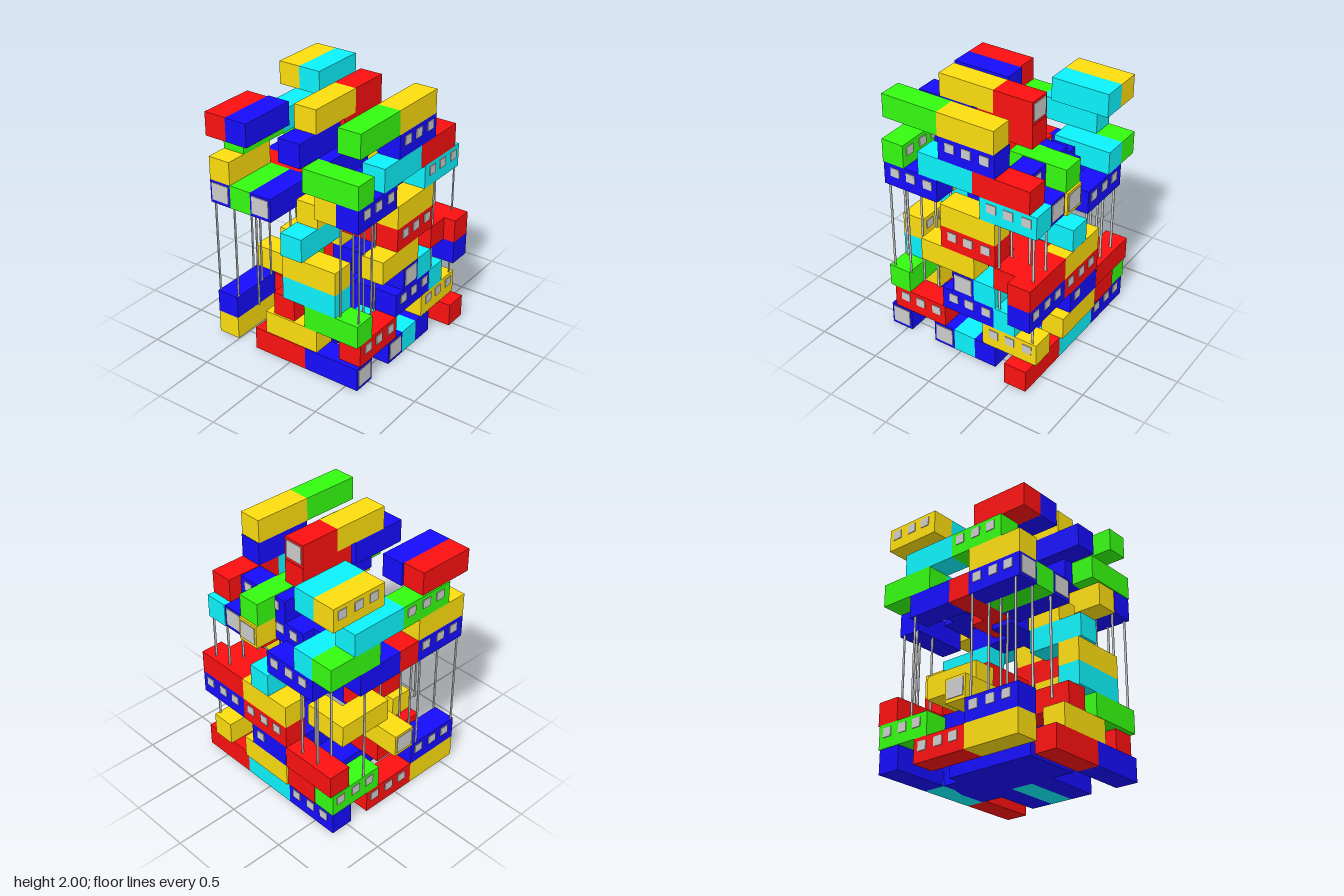
import * as THREE from 'three';

const L = 0.462, W = 0.183, H = 0.182;
const paint = { r: 0xfb1010, b: 0x150cfb, g: 0x34fb10, c: 0x0cf2fb, y: 0xfbdc0e, grey: 0xcccccc };
const mats = {};
for (const k in paint) mats[k] = new THREE.MeshStandardMaterial({ color: paint[k] });

function box(name, mat, w, h, d, x, y, z) {
  const m = new THREE.Mesh(new THREE.BoxGeometry(w, h, d), mat);
  m.name = name;
  m.position.set(x, y, z);
  return m;
}

// Offsets along the face: w = three windows, s = single window, p = end panel
const openings = { w: [-0.132, 0.005, 0.153], s: [0], p: [0] };

// One container; fit is e.g. 'w+z p-x' for windows on the +z face and an end panel on the -x face
function container(color, axis, x0, y0, z0, fit = '', len = L, tall = H) {
  const g = new THREE.Group();
  g.name = 'container';
  const w = axis === 'x' ? len : W, d = axis === 'x' ? W : len;
  g.position.set(x0 + w / 2, y0, z0 + d / 2);
  g.add(box('containerBody', mats[color], w, tall, d, 0, tall / 2, 0));
  for (const [kind, sign, face] of fit.split(' ').filter(Boolean)) {
    const s = sign === '+' ? 1 : -1;
    const panel = kind === 'p';
    const name = panel ? 'endPanel' : 'window';
    const size = panel ? 0.148 : 0.075, h = size * 0.93, t = 0.012;
    const y = panel ? tall - 0.087 : tall - 0.065;
    for (const o of openings[kind]) {
      g.add(face === 'x'
        ? box(name, mats.grey, t, h, size, s * w / 2, y, o)
        : box(name, mats.grey, size, h, t, o, y, s * d / 2));
    }
  }
  return g;
}

export function createModel() {
  const model = new THREE.Group();
  model.name = 'containerTower';

  // rows: [colour, long axis, min x, min z, fittings, length, height]
  function level(name, y, rows) {
    const g = new THREE.Group();
    g.name = name;
    for (const [c, a, x, z, fit, len, tall] of rows) g.add(container(c, a, x, y, z, fit, len, tall));
    model.add(g);
  }
  const at = i => i * H;

  level('groundLevel', 0, [
    ['b', 'z', -0.64, 0.14, 'p+z'], ['r', 'z', -0.64, -0.32],
    ['b', 'z', -0.238, 0.14, 'p+z'], ['c', 'z', -0.055, 0.14], ['b', 'z', 0.128, 0.14],
    ['b', 'z', -0.421, -0.322], ['b', 'z', -0.238, -0.322], ['b', 'z', -0.055, -0.322],
    ['b', 'z', 0.128, -0.322], ['b', 'z', 0.311, -0.22, 'p+z', 0.46], ['r', 'z', 0.457, 0.24],
    ['c', 'z', 0.457, -0.222], ['b', 'z', 0.457, -0.684, 'w+x'],
    ['r', 'x', -0.16, -0.69, 'w-z'], ['y', 'x', -0.622, -0.69],
  ]);
  level('level1', at(1), [
    ['r', 'x', -0.6, 0.417, 'w+z'], ['y', 'x', 0.2, 0.417, 'w+z'],
    ['y', 'z', -0.635, -0.22], ['r', 'z', -0.18, -0.5],
    ['y', 'z', 0.482, -0.222], ['r', 'z', 0.47, -0.507, '', 0.28],
    ['g', 'x', 0.185, -0.69, 'w-z'], ['b', 'x', -0.622, -0.69, 'w-z'],
  ]);
  level('level2', at(2), [
    ['g', 'z', -0.64, 0.14], ['b', 'x', -0.15, 0.417, 'w+z'], ['b', 'x', -0.16, 0.234],
    ['c', 'z', 0.297, 0.14], ['b', 'x', 0.203, -0.037, 's+x'], ['b', 'x', 0.203, -0.22],
    ['r', 'z', 0.482, -0.685], ['r', 'x', -0.62, -0.15], ['y', 'z', -0.165, -0.692, 'p-z'],
  ]);
  level('level3', at(3), [
    ['c', 'z', -0.64, -0.05, 'w+x'], ['b', 'z', -0.055, 0.14, 'p+z'], ['c', 'z', 0.128, 0.14],
    ['b', 'z', 0.482, 0.234, 'w+x'], ['r', 'z', 0.482, -0.228, 'w+x'],
    ['y', 'x', -0.09, -0.505], ['y', 'x', 0.2, -0.322, '', 0.17],
  ]);
  level('level4', at(4), [
    ['y', 'z', -0.64, -0.05, 'w+x'], ['y', 'x', -0.33, 0.417],
    ['r', 'z', 0.13, -0.125], ['r', 'z', 0.3, 0.14],
    ['r', 'z', 0.482, 0.234], ['y', 'z', 0.482, -0.228],
  ]);
  level('level5', at(5), [
    ['c', 'x', -0.66, -0.045], ['c', 'x', 0.202, -0.045], ['r', 'x', -0.15, 0.417, 'w+z'],
  ]);
  level('level6', at(6), [
    ['y', 'x', -0.15, 0.417], ['y', 'x', -0.47, -0.045, '', 0.285],
    ['b', 'z', -0.175, -0.228], ['b', 'x', -0.075, -0.045, 'p+x'],
  ]);
  level('level7', at(7), [
    ['b', 'x', -0.635, 0.417, 'w+z'], ['c', 'x', 0.187, 0.417, 'w+z'],
    ['b', 'x', 0.13, 0.234, 'p+x', 0.512], ['y', 'x', 0.203, 0.055, 'p+x'],
    ['b', 'z', 0.203, -0.32], ['b', 'z', 0.302, -0.228, 'w+x'], ['y', 'x', -0.63, 0.234],
  ]);
  level('level8', at(8), [
    ['g', 'z', -0.64, 0.14, 'w+x'], ['c', 'x', -0.33, 0.417], ['r', 'x', 0.13, 0.417],
    ['b', 'z', 0.302, -0.045, 'w+x', L, 0.177], ['g', 'x', 0.187, 0.053],
    ['b', 'x', -0.457, 0.053], ['r', 'x', 0.005, -0.12, 'p+x', 0.308, 0.175],
  ]);
  level('level9', at(9), [
    ['b', 'x', -0.15, 0.417, 'w+z'], ['b', 'x', -0.658, -0.045], ['r', 'x', -0.15, -0.045],
  ]);
  level('topLevel', at(10), [
    ['g', 'x', -0.617, 0.417], ['y', 'x', -0.155, 0.417],
    ['y', 'x', -0.475, -0.045], ['r', 'x', -0.013, -0.045, 'p+x', 0.322],
  ]);

  // Rear stack, raised a little above the front levels
  level('rearLower', 1.13, [
    ['b', 'z', 0.482, -0.512, 'w+x'], ['b', 'x', 0.005, -0.692, '', 0.385],
    ['r', 'z', -0.178, -0.692], ['r', 'z', -0.053, -0.32, '', L, 0.15],
    ['b', 'x', -0.64, -0.692, 'w-z p-x'], ['g', 'x', -0.64, -0.509], ['b', 'x', -0.64, -0.326, 'p-x'],
  ]);
  level('rearMiddle', 1.312, [
    ['g', 'x', 0.203, -0.692], ['c', 'x', 0.203, -0.512], ['y', 'x', -0.64, -0.692],
  ]);
  level('rearUpper', 1.49, [
    ['g', 'x', -0.474, -0.692, 'w-z'], ['c', 'x', -0.012, -0.692],
  ]);
  level('rearRoof', 1.67, [
    ['r', 'x', -0.67, -0.68], ['b', 'x', -0.67, -0.497, '', 0.48],
  ]);
  level('rearTop', 1.775, [
    ['y', 'x', 0.177, -0.685, 'w-z'], ['c', 'x', 0.177, -0.502],
  ]);

  // Slim posts holding the overhanging containers
  function posts(xs, z, y0, y1) {
    for (const x of xs) model.add(box('post', mats.grey, 0.018, y1 - y0, 0.006, x, (y0 + y1) / 2, z));
  }
  posts([-0.6, -0.45], 0.585, at(3), at(7));
  posts([-0.6, -0.45, -0.32, -0.18], 0.43, at(2), at(7));
  posts([0.34, 0.62], 0.585, at(2), at(7));
  posts([0.34, 0.49, 0.62], 0.43, at(3), at(7));
  posts([-0.6, -0.21], -0.685, at(2), 1.13);
  posts([-0.6, -0.32, -0.21], -0.51, at(2), 1.13);
  posts([-0.6, -0.21], -0.31, at(2), 1.13);
  posts([0.34], -0.685, at(2), 1.13);
  posts([0.49, 0.62], -0.35, at(3), 1.13);
  posts([0.49, 0.62], -0.51, at(3), 1.13);

  return model;
}
